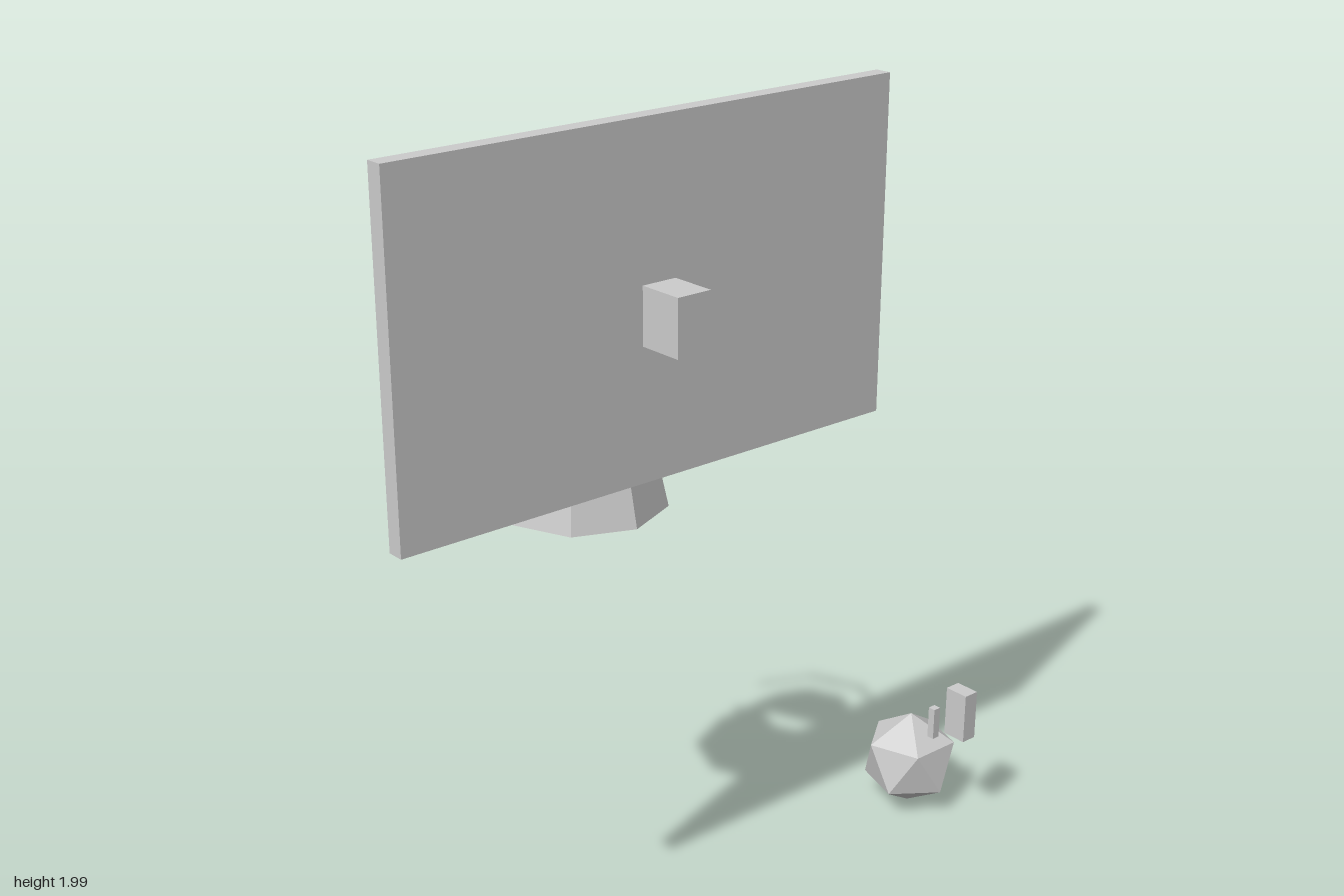
import * as THREE from 'three';

export function createModel() {
  const group = new THREE.Group();
  group.name = 'basketballHoop';

  const grey = new THREE.MeshStandardMaterial({ color: 0xcccccc, flatShading: true, side: THREE.DoubleSide });
  grey.name = 'light grey';

  const add = (name, geometry, x, y, z) => {
    const mesh = new THREE.Mesh(geometry, grey);
    mesh.name = name;
    mesh.position.set(x, y, z);
    group.add(mesh);
    return mesh;
  };

  // Box given by its [min, max] range on each axis
  const box = (name, [x0, x1], [y0, y1], [z0, z1]) =>
    add(name, new THREE.BoxGeometry(x1 - x0, y1 - y0, z1 - z0), (x0 + x1) / 2, (y0 + y1) / 2, (z0 + z1) / 2);

  // Backboard with two stepped target panels and a rear bracket
  box('backboard', [0.143, 0.184], [1.205, 2.0], [-0.477, 0.854]);
  box('targetBorder', [0.133, 0.143], [1.34, 1.69], [-0.032, 0.409]);
  box('targetPanel', [0.127, 0.133], [1.38, 1.645], [0.009, 0.365]);
  box('rearBracket', [0.184, 0.297], [1.515, 1.648], [0.143, 0.232]);

  // Open eight-sided rim band and flared net
  const hoopX = -0.092, hoopZ = 0.189;
  add('rim', new THREE.CylinderGeometry(0.212, 0.212, 0.026, 8, 1, true), hoopX, 1.358, hoopZ);
  add('net', new THREE.CylinderGeometry(0.136, 0.199, 0.29, 8, 1, true), hoopX, 1.205, hoopZ);

  // Ball standing on one vertex
  const ball = new THREE.IcosahedronGeometry(0.13, 0);
  ball.rotateZ(Math.atan(2 / (1 + Math.sqrt(5))));
  add('ball', ball, 0.098, 0.138, -0.746);

  // Two small floating blocks beside the ball
  box('smallBlock', [0.165, 0.185], [0.23, 0.315], [-0.76, -0.739]);
  box('largeBlock', [0.232, 0.297], [0.272, 0.403], [-0.771, -0.729]);

  return group;
}
